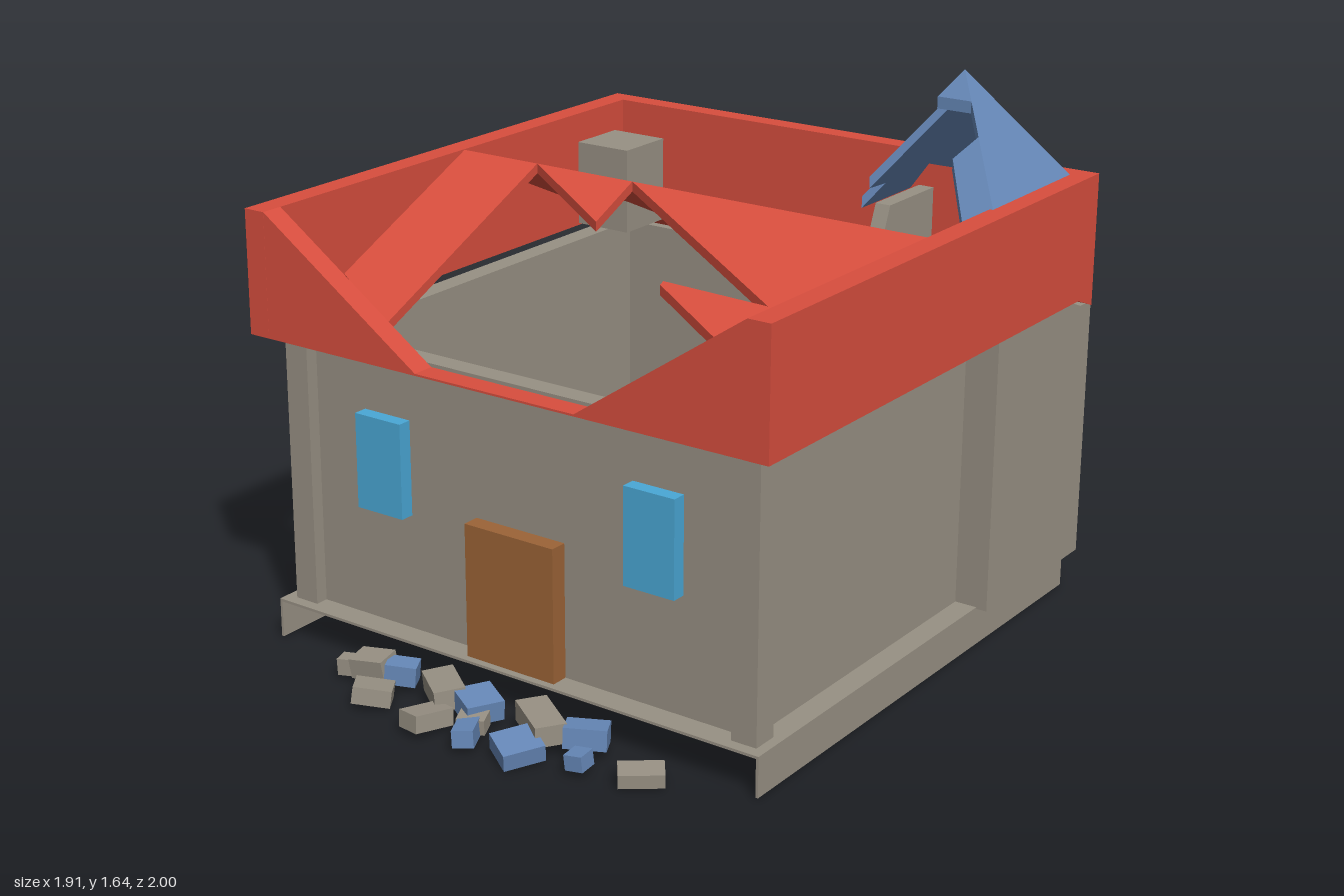
import * as THREE from 'three';

const mat = (name, color) => {
  const m = new THREE.MeshStandardMaterial({ color });
  m.name = name;
  return m;
};

export function createModel() {
  const stone = mat('stone', 0x989184);
  const red = mat('red roof', 0xd84e3e);
  const blue = mat('blue slate', 0x6688b8);
  const glass = mat('window blue', 0x4aa8d6);
  const wood = mat('door brown', 0x9c6437);
  const root = new THREE.Group();
  root.name = 'ruinedHouse';

  const add = (name, geo, material) => {
    const m = new THREE.Mesh(geo, material);
    m.name = name;
    root.add(m);
    return m;
  };
  // Box given by its limits
  const box = (name, material, x0, x1, y0, y1, z0, z1) => {
    const m = add(name, new THREE.BoxGeometry(x1 - x0, y1 - y0, z1 - z0), material);
    m.position.set((x0 + x1) / 2, (y0 + y1) / 2, (z0 + z1) / 2);
    return m;
  };
  const extrude = (pts, depth) => new THREE.ExtrudeGeometry(
    new THREE.Shape(pts.map(([x, y]) => new THREE.Vector2(x, y))), { depth, bevelEnabled: false });
  // Plate cut from a plan outline of [x, z] points and laid on a height rule
  const drape = (name, material, plan, height, t) => {
    const geo = extrude(plan.map(([x, z]) => [x, -z]), t);
    const p = geo.attributes.position;
    for (let i = 0; i < p.count; i++) {
      const x = p.getX(i), z = -p.getY(i), d = p.getZ(i);
      p.setXYZ(i, x, height(x, z) + d - t, z);
    }
    geo.computeVertexNormals();
    return add(name, geo, material);
  };
  // Upright plate with a [z, y] outline, x0 to x1
  const sidePlate = (name, material, pts, x0, x1) => {
    const geo = extrude(pts.map(([z, y]) => [-z, y]), x1 - x0);
    geo.rotateY(Math.PI / 2);
    geo.translate(x0, 0, 0);
    return add(name, geo, material);
  };

  // Hollow plinth, open at the front and below
  const e = 0.008;
  box('plinthTop', stone, -0.765, 0.92, 0.12 - e, 0.12, -0.97, 0.72);
  box('plinthLeft', stone, 0.92 - e, 0.92, 0, 0.12, -0.97, 0.72);
  box('plinthRight', stone, -0.765, -0.765 + e, 0, 0.12, -0.97, 0.72);
  box('plinthBack', stone, -0.765, 0.92, 0, 0.12, -0.97, -0.97 + e);

  // Walls and corner posts
  box('frontWall', stone, -0.69, 0.85, 0.12, 0.94, 0.58, 0.645);
  box('backWall', stone, -0.69, 0.85, 0.12, 0.94, -0.895, -0.83);
  box('leftWall', stone, 0.785, 0.85, 0.12, 0.94, -0.895, 0.645);
  box('rightWall', stone, -0.69, -0.625, 0.12, 0.94, -0.895, 0.645);
  for (const x of [-0.69, 0.85]) for (const z of [-0.895, 0.645])
    box('cornerPost', stone, x - 0.04, x + 0.04, 0.12, 0.94, z - 0.04, z + 0.04);

  // Door and windows
  box('door', wood, -0.07, 0.235, 0.12, 0.52, 0.64, 0.698);
  for (const x of [-0.388, 0.546]) box('window', glass, x - 0.082, x + 0.082, 0.47, 0.755, 0.64, 0.688);

  // Corner tower, its top following the slope of the roof
  sidePlate('tower', stone, [[-0.43, 0.115], [-0.43, 1.13], [-0.93, 0.92], [-0.998, 0.92], [-0.998, 0.115]], 0.39, 0.953);
  sidePlate('towerBrokenWall', stone, [[-0.62, 1.05], [-0.68, 1.2], [-0.94, 1.2], [-0.94, 0.92]], 0.39, 0.44);

  // Roof rim, with a wide break in the front
  const sideRim = [[0.75, 0.94], [0.75, 1.31], [-1, 1.31], [-1, 0.905], [-0.91, 0.94]];
  sidePlate('roofRimRight', red, sideRim, -0.8, -0.73);
  sidePlate('roofRimLeft', red, sideRim, 0.885, 0.955);
  box('roofRimBack', red, -0.73, 0.885, 0.905, 1.31, -1, -0.935);
  const frontRim = extrude([[-0.8, 0.94], [0.955, 0.94], [0.955, 1.31], [0.885, 1.31],
    [0.35, 0.946], [-0.19, 0.946], [-0.73, 1.31], [-0.8, 1.31]], 0.069);
  frontRim.translate(0, 0, 0.6805);
  add('roofRimFront', frontRim, red);

  // Gable slopes, the front one torn open
  const ridge = -0.125;
  const roofY = (x, z) => 1.308 - 0.46 * Math.abs(z - ridge);
  drape('backSlope', red, [[-0.73, -0.935], [0.885, -0.935], [0.885, ridge], [-0.73, ridge]], roofY, 0.03);
  drape('frontSlopeRight', red, [[-0.73, ridge], [-0.45, ridge], [-0.45, 0.57], [-0.73, 0.43]], roofY, 0.03);
  drape('frontSlopeTooth', red, [[-0.45, ridge], [-0.1, ridge], [-0.1, 0.05]], roofY, 0.03);
  drape('frontSlopeLeft', red, [[-0.1, ridge], [0.885, ridge], [0.885, 0.54],
    [0.25, 0.225], [0.25, 0.21], [0.6, 0.22]], roofY, 0.03);
  box('chimney', stone, -0.51, -0.325, 1.05, 1.308, -0.595, -0.405);

  // Shattered spire, each face a draped plate
  const ax = 0.66, az = -0.7;
  const spireY = (x, z) => 1.635 - 1.38 * Math.max(Math.abs(x - ax), Math.abs(z - az));
  const x0 = 0.36, x1 = 0.952, z0 = -0.996, z1 = -0.408;
  drape('spireBack', blue, [[ax, az], [x0, -1 + 0.004], [x1, z0]], spireY, 0.035);
  drape('spireRight', blue, [[ax, az], [0.605, -0.645], [0.6, -0.75], [0.42, -0.59],
    [0.415, -0.69], [x0, -0.65], [x0, z0]], spireY, 0.035);
  drape('spireCap', blue, [[ax, az], [0.605, -0.645], [0.715, -0.645]], spireY, 0.035);
  drape('spireLeft', blue, [[ax, az], [x1, z0], [x1, z1]], spireY, 0.035);
  drape('spireFront', blue, [[0.775, -0.585], [x1, z1], [0.84, z1], [0.72, -0.54]], spireY, 0.035);

  // Rubble: material, x, y, z, width, height, depth, turn
  [
    [blue, -0.9, 0.045, -0.1, 0.09, 0.065, 0.11, 0.2],
    [blue, -0.82, 0.04, 0.035, 0.08, 0.06, 0.08, -0.25],
    [blue, -0.75, 0.135, 0, 0.035, 0.03, 0.045, 0.3],
    [stone, -0.42, 0.035, 0.8, 0.06, 0.05, 0.05, 0.3],
    [stone, -0.34, 0.055, 0.79, 0.11, 0.06, 0.08, 0.15],
    [stone, -0.25, 0.035, 0.895, 0.11, 0.05, 0.09, 0.6],
    [blue, -0.25, 0.05, 0.77, 0.09, 0.06, 0.07, 0.5],
    [stone, -0.07, 0.06, 0.8, 0.16, 0.06, 0.09, -0.65],
    [stone, -0.03, 0.035, 0.925, 0.08, 0.05, 0.125, -0.25],
    [blue, 0.06, 0.055, 0.81, 0.11, 0.06, 0.11, -0.5],
    [stone, 0.09, 0.035, 0.87, 0.08, 0.045, 0.06, 0.4],
    [blue, 0.115, 0.035, 0.93, 0.06, 0.05, 0.11, 0.5],
    [stone, 0.27, 0.06, 0.8, 0.18, 0.06, 0.09, -0.6],
    [blue, 0.28, 0.035, 0.915, 0.11, 0.05, 0.12, -0.55],
    [blue, 0.41, 0.055, 0.78, 0.12, 0.06, 0.08, 0.5],
    [blue, 0.455, 0.035, 0.875, 0.055, 0.045, 0.06, 0.1],
    [stone, 0.63, 0.028, 0.835, 0.125, 0.04, 0.075, 0.65],
    [blue, -0.6, 0.15, 0.52, 0.05, 0.045, 0.05, 0.4],
    [stone, -0.35, 0.155, 0.535, 0.1, 0.05, 0.08, 0.1],
  ].forEach(([m, x, y, z, w, h, d, turn], i) => {
    const chunk = add('rubble', new THREE.BoxGeometry(w, h, d), m);
    chunk.position.set(x, y, z);
    chunk.rotation.set(0.12 * Math.sin(i * 2.1), turn, 0.12 * Math.cos(i * 1.7));
  });

  return root;
}
